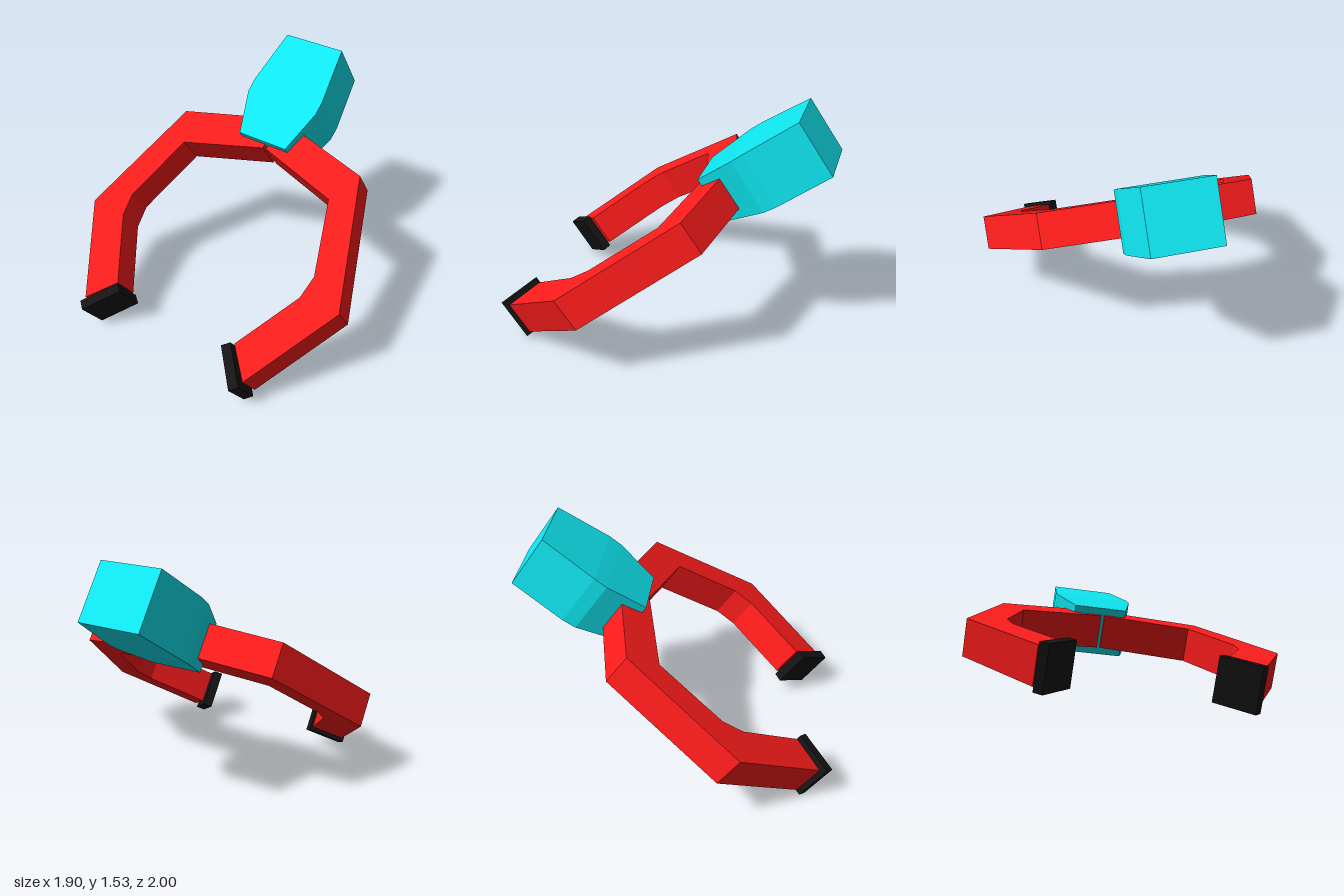
import * as THREE from 'three';

const red = new THREE.MeshStandardMaterial({ color: 0xff1c1c, flatShading: true });
const cyan = new THREE.MeshStandardMaterial({ color: 0x0fe8f2, flatShading: true });
const black = new THREE.MeshStandardMaterial({ color: 0x141414, flatShading: true });

// Flat plate: outline in (x, z), spanning heights y0..y1
function plate(name, outline, side, y0, y1, material) {
  const shape = new THREE.Shape(outline.map(([x, z]) => new THREE.Vector2(x * side, -z)));
  const geometry = new THREE.ExtrudeGeometry(shape, { depth: y1 - y0, bevelEnabled: false });
  geometry.rotateX(-Math.PI / 2).translate(0, y0, 0);
  const mesh = new THREE.Mesh(geometry, material);
  mesh.name = name;
  return mesh;
}

// Tapered grip: a box whose cross-sections follow [z, half width, bottom, top]
function buildGrip() {
  const sections = [
    [-1.522, 0.208, 0.433, 0.809],
    [-1.15, 0.26, 0.433, 0.809],
    [-1.06, 0.26, 0.437, 0.804],
    [-0.777, 0.175, 0.463, 0.78],
  ];
  const geometry = new THREE.BoxGeometry(1, 1, 3, 1, 1, 3);
  const p = geometry.attributes.position;
  for (let i = 0; i < p.count; i++) {
    const [z, halfWidth, bottom, top] = sections[Math.round(p.getZ(i) + 1.5)];
    p.setXYZ(i, -0.016 + Math.sign(p.getX(i)) * halfWidth, p.getY(i) > 0 ? top : bottom, z);
  }
  geometry.computeVertexNormals();
  const mesh = new THREE.Mesh(geometry, cyan);
  mesh.name = 'grip';
  return mesh;
}

export function createModel() {
  const model = new THREE.Group();
  model.name = 'clawTool';

  // Everything is laid out flat, then tilted as one piece
  const tilted = new THREE.Group();
  tilted.name = 'tiltedAssembly';
  tilted.rotation.x = THREE.MathUtils.degToRad(35);
  model.add(tilted);

  const armOutline = [
    [0.012, -0.975], [0.672, -0.801], [0.952, 0.018], [0.62, 0.61],
    [0.46, 0.436], [0.69, 0.026], [0.71, -0.122], [0.56, -0.592], [0.012, -0.749],
  ];
  const padOutline = [[0.4, 0.481], [0.577, 0.69], [0.622, 0.647], [0.445, 0.441]];

  // Mirrored jaws with pads at their tips
  for (const [label, side] of [['left', 1], ['right', -1]]) {
    tilted.add(plate(label + 'Arm', armOutline, side, 0.513, 0.733, red));
    tilted.add(plate(label + 'Pad', padOutline, side, 0.492, 0.758, black));
  }
  tilted.add(buildGrip());
  return model;
}
